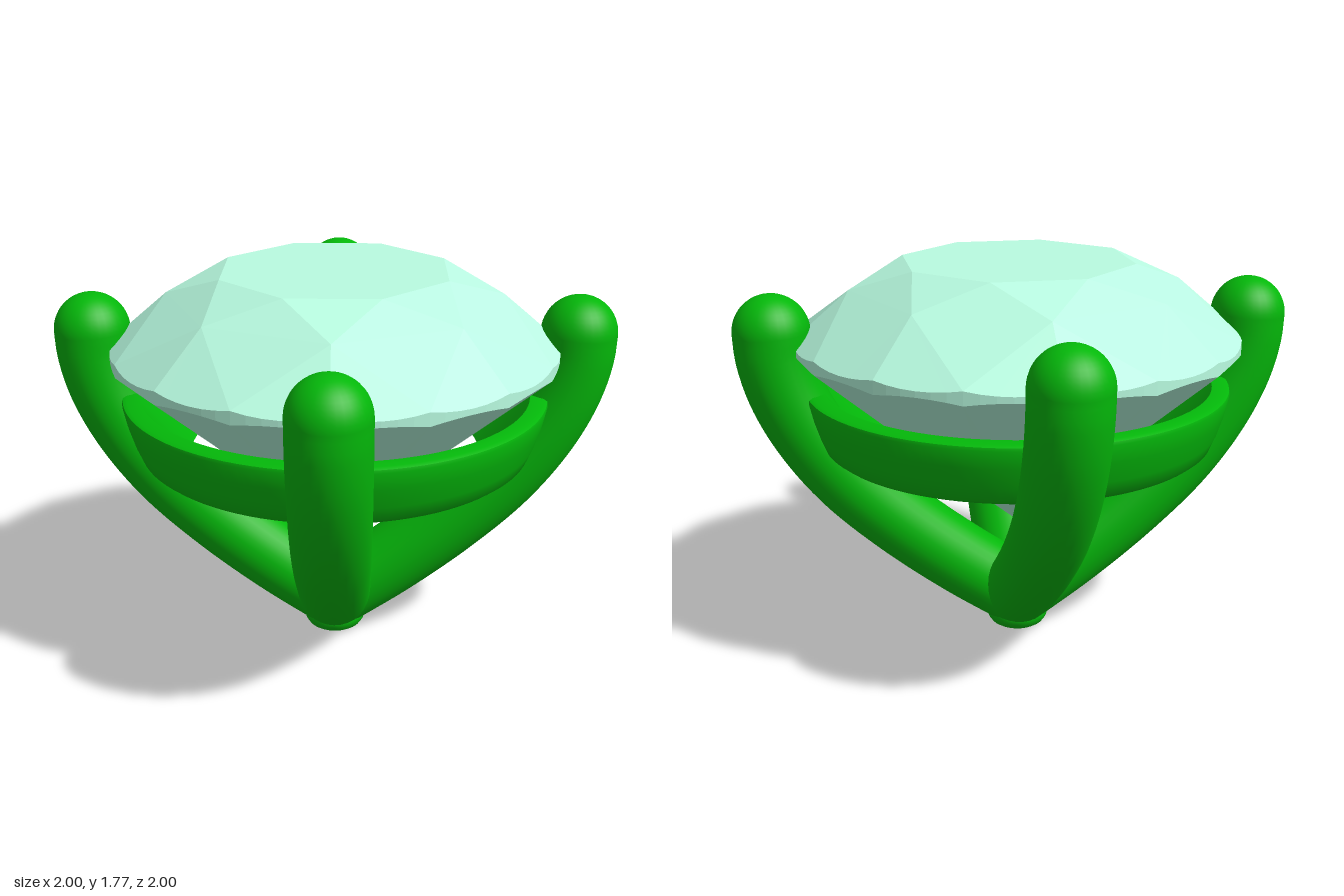
import * as THREE from 'three';
import { toCreasedNormals } from 'three/addons/utils/BufferGeometryUtils.js';

const STEP = Math.PI / 8; // 16 facet divisions around the gem
const SUB = 6;            // girdle points per division
const polar = (r, a, y) => new THREE.Vector3(r * Math.sin(a), y, r * Math.cos(a));

// Brilliant cut: table, star, kite and half facets over a scalloped girdle
function gemGeometry() {
  const pos = [];
  const centre = new THREE.Vector3(0, 1.35, 0);
  const tri = (a, b, c) => {
    const n = b.clone().sub(a).cross(c.clone().sub(a));
    const mid = a.clone().add(b).add(c).divideScalar(3).sub(centre);
    const order = n.dot(mid) < 0 ? [a, c, b] : [a, b, c];
    order.forEach((p) => pos.push(p.x, p.y, p.z));
  };

  const table = (i) => polar(0.53, i * STEP, 1.773);
  const mid = (i) => polar(0.75, i * STEP, 1.663);
  const low = (i) => polar(0.2, i * STEP, 0.69);
  const culet = new THREE.Vector3(0, 0.53, 0);
  const top = new THREE.Vector3(0, 1.773, 0);
  // Each half facet meets the round girdle in a shallow arc
  const rim = (i, j, y, slope) => {
    const bulge = Math.cos((j / SUB - 0.5) * STEP) - Math.cos(STEP / 2);
    return polar(1, (i + j / SUB) * STEP, y + slope * bulge);
  };
  const upper = (i, j = 0) => rim(i, j, 1.45, -0.88);
  const lower = (i, j = 0) => rim(i, j, 1.39, 0.89);

  for (let i = 0; i < 16; i += 2) {
    tri(top, table(i - 1), table(i + 1));
    tri(mid(i), table(i - 1), table(i + 1));          // star
    tri(table(i + 1), mid(i), mid(i + 2));            // crown kite
    tri(upper(i + 1), mid(i), mid(i + 2));
    tri(culet, low(i), low(i + 2));                   // pavilion kite
    tri(lower(i + 1), low(i), low(i + 2));
    for (const k of [i - 1, i]) {
      for (let j = 0; j < SUB; j++) {
        tri(mid(i), upper(k, j), upper(k, j + 1));    // crown halves
        tri(low(i), lower(k, j), lower(k, j + 1));    // pavilion halves
        tri(upper(k, j), lower(k, j), lower(k, j + 1)); // girdle wall
        tri(upper(k, j), lower(k, j + 1), upper(k, j + 1));
      }
    }
  }
  const geo = new THREE.BufferGeometry();
  geo.setAttribute('position', new THREE.Float32BufferAttribute(pos, 3));
  geo.computeVertexNormals();
  return geo;
}

const lathe = (pts, segments) => toCreasedNormals(
  new THREE.LatheGeometry(pts.map(([x, y]) => new THREE.Vector2(x, y)), segments), 0.75);

export function createModel() {
  const model = new THREE.Group();
  model.name = 'gemSetting';
  const metal = new THREE.MeshStandardMaterial({ color: 0x04b80a });
  const stone = new THREE.MeshStandardMaterial({ color: 0xb9fce1, flatShading: true });
  const add = (name, geo, mat, parent = model) => {
    const mesh = new THREE.Mesh(geo, mat);
    mesh.name = name;
    parent.add(mesh);
    return mesh;
  };

  add('gem', gemGeometry(), stone);

  // Four curved prongs on the diagonals, with round tips
  const R = 0.17;
  const path = new THREE.CatmullRomCurve3([
    [0, 0.17], [0.19, 0.355], [0.385, 0.575], [0.55, 0.8],
    [0.665, 1.02], [0.735, 1.22], [0.765, 1.38], [0.77, 1.49],
  ].map(([x, y]) => new THREE.Vector3(x, y, x)));
  const prongGeo = new THREE.TubeGeometry(path, 48, R, 32);
  const ballGeo = new THREE.SphereGeometry(R, 32, 24);
  ['frontLeft', 'backLeft', 'backRight', 'frontRight'].forEach((corner, i) => {
    const prong = new THREE.Group();
    prong.name = corner + 'Prong';
    add('prongStem', prongGeo, metal, prong);
    add('prongTip', ballGeo, metal, prong).position.set(0.77, 1.49, 0.77);
    prong.rotation.y = i * Math.PI / 2;
    model.add(prong);
  });

  // Blunt foot where the prongs meet
  add('footCore', ballGeo, metal).position.y = 0.175;
  add('foot', lathe([[0, 0.004], [0.08, 0.004], [0.105, 0.01], [0.125, 0.023],
    [0.14, 0.045], [0.147, 0.07], [0.14, 0.1], [0, 0.12]], 40), metal);

  // Flared band joining the prongs under the girdle
  add('band', lathe([[0.66, 0.942], [0.83, 0.942], [0.865, 0.947], [0.888, 0.965],
    [0.915, 1.03], [0.943, 1.12], [0.96, 1.2], [0.957, 1.214], [0.94, 1.222],
    [0.88, 1.222], [0.66, 0.942]], 96), metal);

  return model;
}
